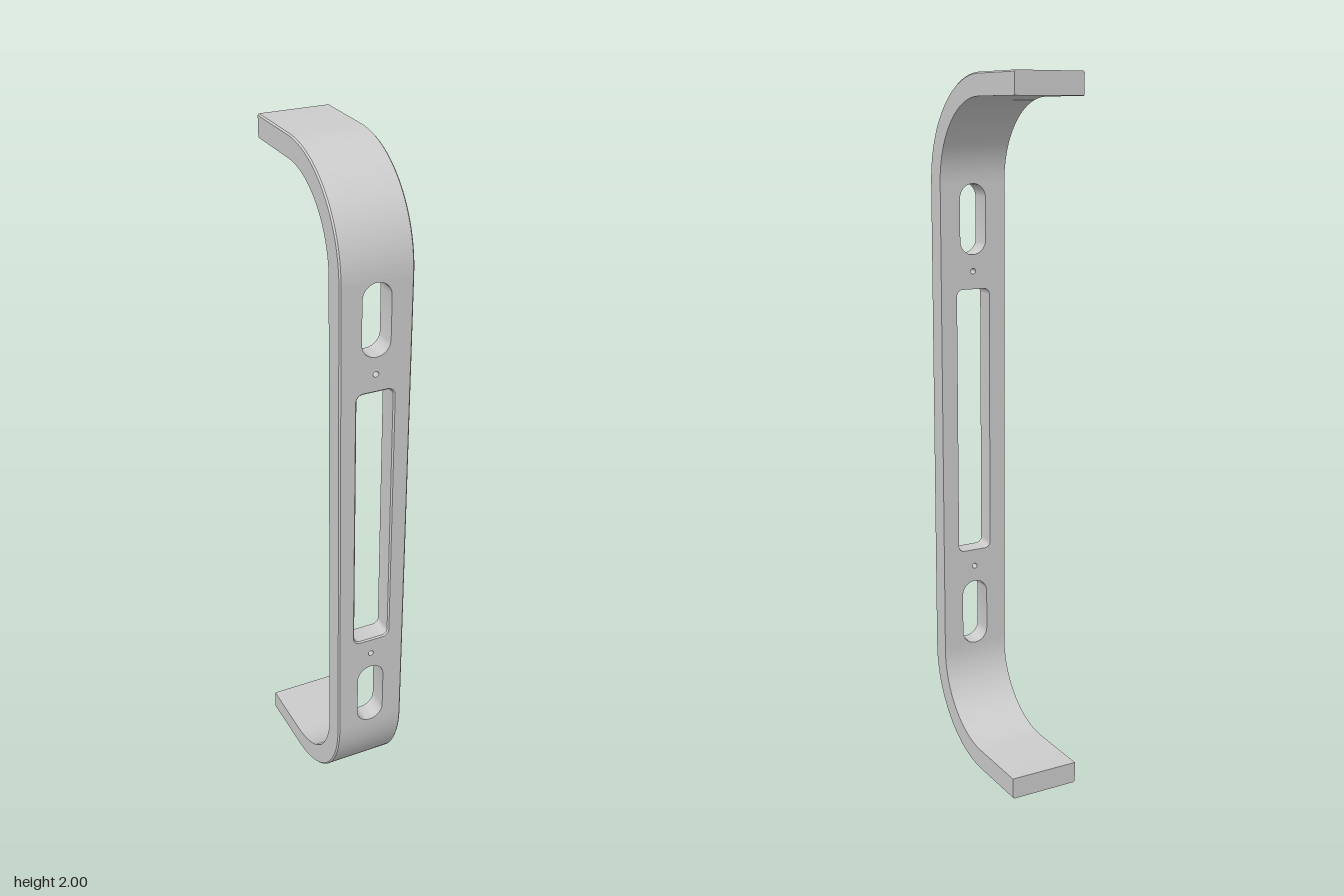
import * as THREE from 'three';
import { toCreasedNormals } from 'three/addons/utils/BufferGeometryUtils.js';

const HW = 0.103;   // half width of the strap
const T = 0.062;    // thickness
const C = 0.004;    // chamfer on the outer edges
const R = 0.295;    // outer bend radius
const ZF = 0.245;   // front face
const ZB = -0.245;  // ends of the two arms
const Y0 = R, Y1 = 2 - R; // straight part

const material = new THREE.MeshStandardMaterial({ color: 0xcccccc });

function quad(out, a, b, c, d) {
  for (const p of [a, b, c, a, c, d]) out.push(...p);
}

function meshFrom(positions, name) {
  const g = new THREE.BufferGeometry();
  g.setAttribute('position', new THREE.Float32BufferAttribute(positions, 3));
  const mesh = new THREE.Mesh(toCreasedNormals(g, 0.5), material);
  mesh.name = name;
  return mesh;
}

// Counter-clockwise rounded rectangle; a slot or circle when r is half the width
function roundedLoop(cy, w, h, r, n = 8) {
  const pts = [];
  const corners = [[1, 1], [-1, 1], [-1, -1], [1, -1]];
  corners.forEach(([sx, sy], k) => {
    for (let i = 0; i <= n; i++) {
      const a = (k + i / n) * Math.PI / 2;
      const p = new THREE.Vector2(
        sx * (w / 2 - r) + r * Math.cos(a),
        cy + sy * (h / 2 - r) + r * Math.sin(a));
      if (!pts.length || pts[pts.length - 1].distanceTo(p) > 1e-5) pts.push(p);
    }
  });
  if (pts[0].distanceTo(pts[pts.length - 1]) < 1e-5) pts.pop();
  return pts;
}

// Chamfered section swept round both bends; the straight front and back stay open for the plate
function buildStrap() {
  const stations = [{ y: 2, z: ZB, ny: 1, nz: 0 }];
  const steps = 24;
  for (const [cy, start] of [[Y1, Math.PI / 2], [Y0, 0]]) {
    for (let i = 0; i <= steps; i++) {
      const a = start - (i / steps) * Math.PI / 2;
      const ny = Math.sin(a), nz = Math.cos(a);
      stations.push({ y: cy + R * ny, z: ZF - R + R * nz, ny, nz });
    }
  }
  stations.push({ y: 0, z: ZB, ny: -1, nz: 0 });

  const section = [[-HW, T], [-HW, C], [-HW + C, 0], [HW - C, 0], [HW, C], [HW, T]];
  const rings = stations.map(s => section.map(([x, d]) => [x, s.y - s.ny * d, s.z - s.nz * d]));
  const out = [];
  for (let i = 0; i < rings.length - 1; i++) {
    const straight = i === steps + 1;
    for (let j = 0; j < 6; j++) {
      if (straight && (j === 2 || j === 5)) continue;
      const k = (j + 1) % 6;
      quad(out, rings[i + 1][j], rings[i + 1][k], rings[i][k], rings[i][j]);
    }
  }
  // End caps
  const first = rings[0], last = rings[rings.length - 1];
  for (let j = 1; j < 5; j++) {
    out.push(...first[0], ...first[j], ...first[j + 1]);
    out.push(...last[0], ...last[j + 1], ...last[j]);
  }
  return meshFrom(out, 'bentStrap');
}

// Flat front or back face of the straight part, pierced by the openings
function buildFace(halfWidth, z, loops, back) {
  const shape = new THREE.Shape([
    [-halfWidth, Y0], [halfWidth, Y0], [halfWidth, Y1], [-halfWidth, Y1],
  ].map(([x, y]) => new THREE.Vector2(x, y)));
  shape.holes = loops.map(l => new THREE.Path(l.slice().reverse()));
  const g = new THREE.ShapeGeometry(shape);
  if (back) g.rotateY(Math.PI); // the outline is symmetric in x
  g.translate(0, 0, z);
  const mesh = new THREE.Mesh(g, material);
  mesh.name = back ? 'plateBack' : 'plateFront';
  return mesh;
}

// Inner walls of an opening, lofted through its levels from back to front
function buildWalls(levels, name) {
  const out = [];
  for (let l = 0; l < levels.length - 1; l++) {
    const [A, za] = levels[l], [B, zb] = levels[l + 1];
    A.forEach((p, i) => {
      const k = (i + 1) % A.length;
      quad(out, [A[k].x, A[k].y, za], [p.x, p.y, za], [B[i].x, B[i].y, zb], [B[k].x, B[k].y, zb]);
    });
  }
  return meshFrom(out, name);
}

export function createModel() {
  const group = new THREE.Group();
  group.name = 'bracket';
  group.add(buildStrap());

  // Window with a chamfered front rim, two slots and two pin holes
  const openings = [{ name: 'window', y: 1, w: 0.106, h: 0.796, r: 0.018, rim: C }];
  for (const s of [1, -1]) {
    openings.push({ name: 'slot', y: 1 + s * 0.599, w: 0.082, h: 0.202, r: 0.041, rim: 0 });
    openings.push({ name: 'pinHole', y: 1 + s * 0.45, w: 0.016, h: 0.016, r: 0.008, rim: 0 });
  }
  const frontLoops = [], backLoops = [];
  for (const { name, y, w, h, r, rim } of openings) {
    const inner = roundedLoop(y, w, h, r);
    const outer = roundedLoop(y, w + 2 * rim, h + 2 * rim, r + rim);
    backLoops.push(inner);
    frontLoops.push(outer);
    const levels = [[inner, ZF - T], [inner, ZF - rim]];
    if (rim) levels.push([outer, ZF]);
    group.add(buildWalls(levels, name));
  }
  group.add(buildFace(HW - C, ZF, frontLoops, false));
  group.add(buildFace(HW, ZF - T, backLoops, true));
  return group;
}
